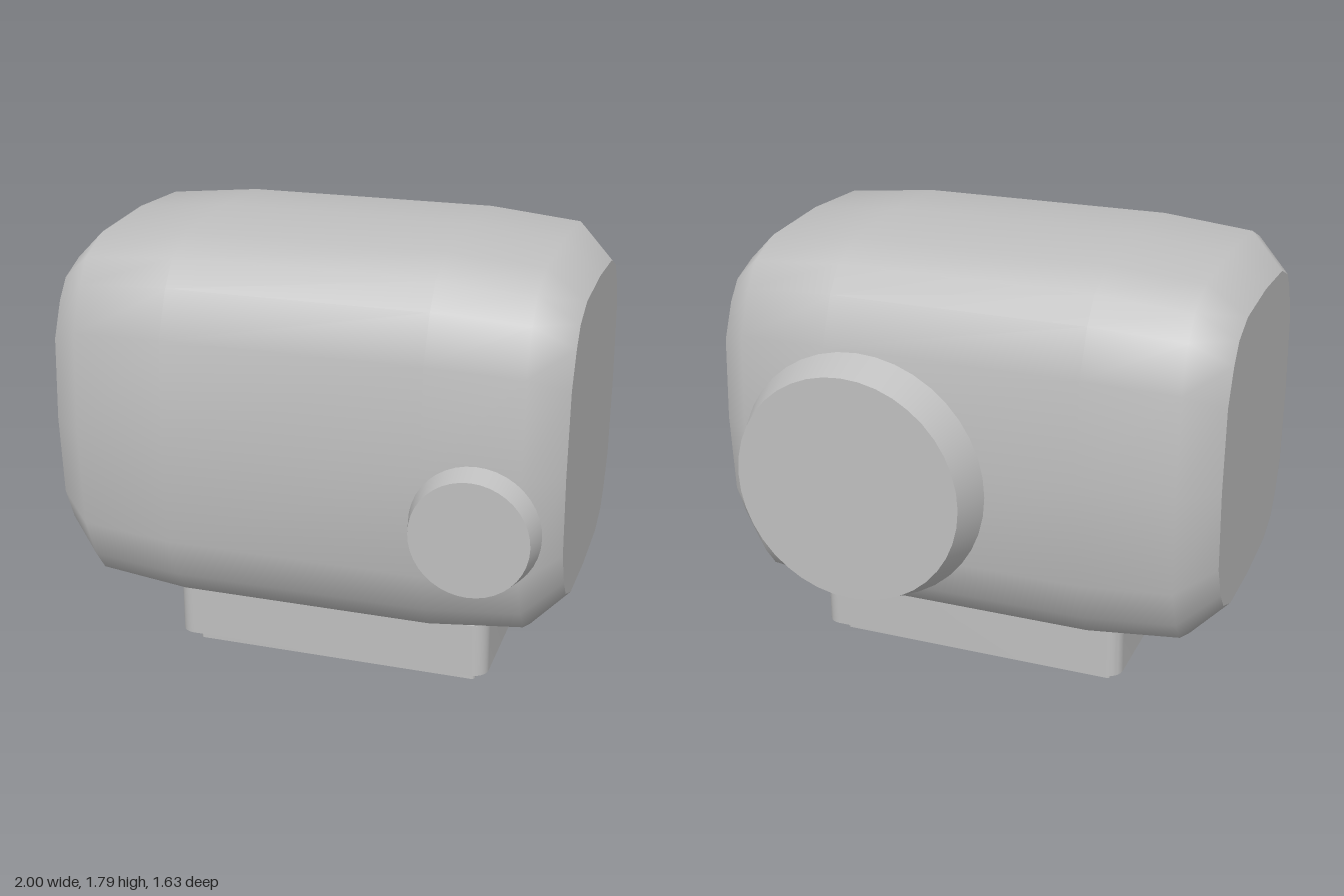
import * as THREE from 'three';
import { toCreasedNormals } from 'three/addons/utils/BufferGeometryUtils.js';

const CY = 1.03, CZ = 0.02; // centre line of the body

// Rounded-square cross-section, as [z, y] fractions; one quadrant turned into a full ring
function ringPoints() {
  const q = [[0, 1], [0.53, 0.974], [0.75, 0.89], [0.855, 0.765], [0.965, 0.535]];
  const h = [...q, [1, 0], ...q.slice(1).reverse().map(([z, y]) => [z, -y])];
  return [...h, [0, -1], ...h.slice(1).reverse().map(([z, y]) => [-z, y])];
}

// Skin lofted along x through stations of [x, half width, half height]
function loft(stations, ring) {
  const pos = [], index = [], n = ring.length;
  stations.forEach(([x, hw, hh], i) => {
    ring.forEach(([z, y], k) => {
      pos.push(x, CY + y * hh, CZ + z * hw);
      if (i === stations.length - 1) return;
      const a = i * n + k, c = i * n + (k + 1) % n;
      index.push(a, c, a + n, c, c + n, a + n);
    });
  });
  const g = new THREE.BufferGeometry();
  g.setAttribute('position', new THREE.Float32BufferAttribute(pos, 3));
  g.setIndex(index);
  g.computeVertexNormals();
  return g;
}

// Upright block with rounded vertical corners
function roundedBlock(x0, x1, y0, y1, z0, z1, r) {
  const s = new THREE.Shape();
  const a = -z1, b = -z0;
  s.moveTo(x0 + r, a);
  s.lineTo(x1 - r, a);
  s.absarc(x1 - r, a + r, r, -Math.PI / 2, 0);
  s.absarc(x1 - r, b - r, r, 0, Math.PI / 2);
  s.absarc(x0 + r, b - r, r, Math.PI / 2, Math.PI);
  s.absarc(x0 + r, a + r, r, Math.PI, Math.PI * 1.5);
  const g = new THREE.ExtrudeGeometry(s, { depth: y1 - y0, bevelEnabled: false, curveSegments: 5 });
  g.rotateX(-Math.PI / 2);
  g.translate(0, y0, 0);
  return toCreasedNormals(g, 0.6);
}

export function createModel() {
  const model = new THREE.Group();
  const grey = new THREE.MeshStandardMaterial({ color: 0xbfbfbf });
  grey.name = 'grey';
  const add = (name, geometry) => {
    const m = new THREE.Mesh(geometry, grey);
    m.name = name;
    model.add(m);
    return m;
  };

  // Body shell and its two flat ends
  const ring = ringPoints();
  const half = [[0.5, 0.7, 0.76], [0.86, 0.67, 0.727], [1, 0.55, 0.595]];
  const stations = [...half.map(([x, w, h]) => [-x, w, h]).reverse(), ...half];
  add('bodyShell', loft(stations, ring));
  const endShape = new THREE.Shape(ring.map(([z, y]) => new THREE.Vector2(z * 0.55, y * 0.595)));
  for (const side of [-1, 1]) {
    const cap = add(side > 0 ? 'leftEnd' : 'rightEnd', new THREE.ShapeGeometry(endShape));
    cap.position.set(side, CY, CZ);
    cap.rotation.y = side * Math.PI / 2;
  }

  // Tapered round housings on the front and back
  const frontDisc = add('frontDisc', new THREE.CylinderGeometry(0.222, 0.245, 0.095, 40));
  frontDisc.rotation.x = Math.PI / 2;
  frontDisc.position.set(0.705, 0.85, 0.767);
  const backDisc = add('backDisc', new THREE.CylinderGeometry(0.45, 0.5, 0.135, 40));
  backDisc.rotation.x = -Math.PI / 2;
  backDisc.position.set(0.35, 0.938, -0.75);

  // Mounting foot with two rails and a hexagonal stud
  add('foot', roundedBlock(-0.59, 0.7, 0.075, 0.295, -0.365, 0.41, 0.06));
  add('frontRail', roundedBlock(-0.53, 0.64, 0.015, 0.08, 0.304, 0.334, 0.014));
  add('backRail', roundedBlock(-0.53, 0.64, 0.015, 0.08, -0.286, -0.256, 0.014));
  const stud = add('stud', toCreasedNormals(new THREE.CylinderGeometry(0.0625, 0.0625, 0.08, 6), 0.5));
  stud.position.set(-0.355, 0.04, 0.023);

  return model;
}
